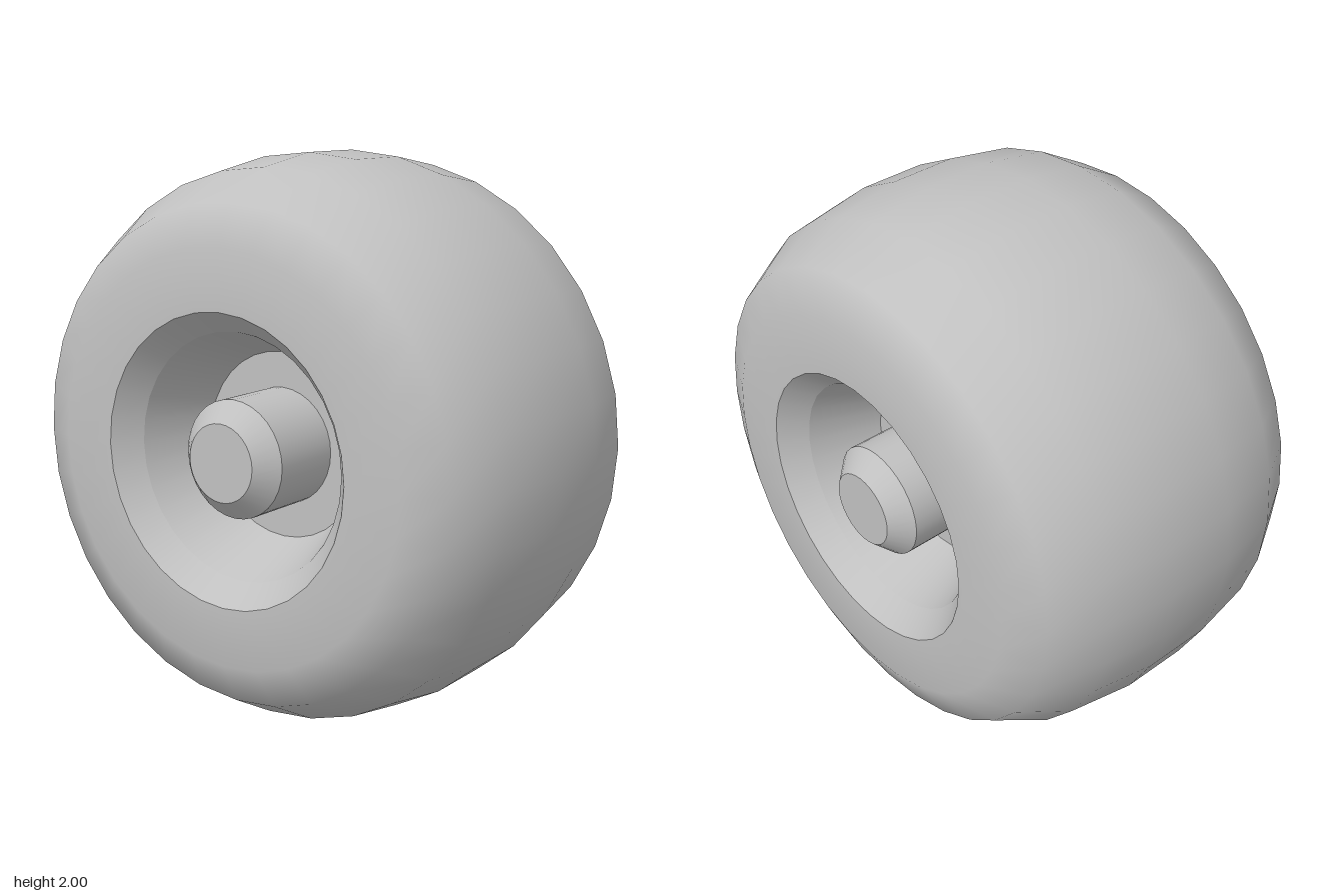
import * as THREE from 'three';
import { mergeGeometries } from 'three/addons/utils/BufferGeometryUtils.js';

const SEGMENTS = 32;

// Profile points are [radius, position along the axle].
const lathe = (points) =>
  new THREE.LatheGeometry(points.map(([r, a]) => new THREE.Vector2(r, a)), SEGMENTS);

// One lathe per band keeps the edges between bands sharp.
const sharpLathe = (points) =>
  mergeGeometries(points.slice(1).map((p, i) => lathe([points[i], p])));

export function createModel() {
  const grey = new THREE.MeshStandardMaterial({ color: 0xc0c0c0 });
  grey.name = 'grey';

  const wheel = new THREE.Group();
  wheel.name = 'wheel';
  const add = (name, geometry, parent) => {
    const mesh = new THREE.Mesh(geometry, grey);
    mesh.name = name;
    parent.add(mesh);
  };

  // Smooth tyre: tread, shoulders and flat sidewalls
  const half = [[1, 0.125], [0.96, 0.37], [0.857, 0.553], [0.715, 0.617], [0.505, 0.617]];
  const mirrored = half.map(([r, a]) => [r, -a]).reverse();
  add('tyre', lathe([...mirrored, ...half]), wheel);

  // Recessed rim and hub, the same on both sides
  for (const side of [1, -1]) {
    const face = new THREE.Group();
    face.name = side > 0 ? 'leftFace' : 'rightFace';
    if (side < 0) face.rotation.x = Math.PI;
    add('rimBevel', lathe([[0.505, 0.617], [0.43, 0.527]]), face);
    add('rimWell', lathe([[0.43, 0.527], [0.33, 0.28]]), face);
    add('rimDisc', lathe([[0.33, 0.28], [0.2, 0.28]]), face);
    add('hub', sharpLathe([[0.205, 0.27], [0.205, 0.547], [0.135, 0.617], [0, 0.617]]), face);
    wheel.add(face);
  }

  // Lay the axle along x and stand the wheel on the ground
  wheel.rotation.z = -Math.PI / 2;
  wheel.position.y = 1;

  const model = new THREE.Group();
  model.name = 'wheelModel';
  model.add(wheel);
  return model;
}
